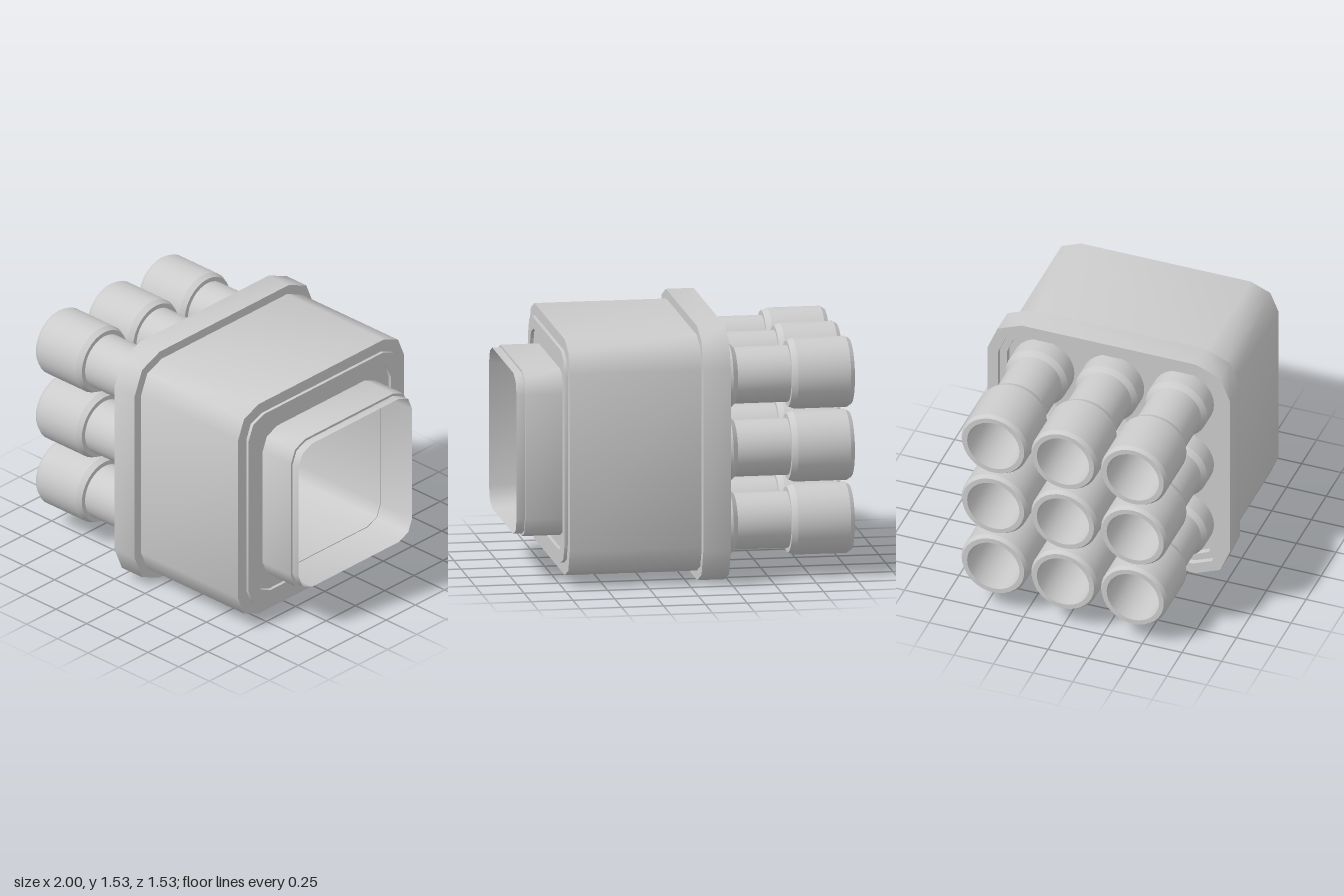
import * as THREE from 'three';
import { toCreasedNormals } from 'three/addons/utils/BufferGeometryUtils.js';

const MID = 0.765; // height of the central axis
const material = new THREE.MeshStandardMaterial({ color: 0xcccccc, side: THREE.DoubleSide });

// Square section with two-segment rounded corners, in the plane at x
function section(x, half, radius) {
  const points = [];
  for (let corner = 0; corner < 4; corner++) {
    for (let k = 0; k < 3; k++) {
      const t = corner * Math.PI / 2 + k * Math.PI / 4;
      const mid = corner * Math.PI / 2 + Math.PI / 4;
      const c = (half - radius) * Math.SQRT2;
      points.push([x, c * Math.cos(mid) + radius * Math.cos(t), c * Math.sin(mid) + radius * Math.sin(t)]);
    }
  }
  return points;
}

// Skin a row of [x, half size, corner radius] sections
function loft(name, rows) {
  const rings = rows.map((row) => section(...row));
  const positions = [];
  for (let i = 0; i + 1 < rings.length; i++) {
    for (let j = 0; j < 12; j++) {
      const k = (j + 1) % 12;
      const [a, b, c, d] = [rings[i][j], rings[i][k], rings[i + 1][k], rings[i + 1][j]];
      if (rows[i][1] > 0) positions.push(...a, ...b, ...d);
      if (rows[i + 1][1] > 0) positions.push(...b, ...c, ...d);
    }
  }
  const geometry = new THREE.BufferGeometry();
  geometry.setAttribute('position', new THREE.Float32BufferAttribute(positions, 3));
  const mesh = new THREE.Mesh(toCreasedNormals(geometry, 0.9), material);
  mesh.name = name;
  mesh.position.y = MID;
  return mesh;
}

// Hollow pipe pointing to -x: [radius, distance along -x]
function pipeGeometry() {
  const profile = [
    [0.195, 0.14], [0.195, 0.275], [0.168, 0.305], [0.168, 0.625],
    [0.195, 0.625], [0.21, 0.66], [0.21, 0.975], [0.195, 1],
    [0.165, 1], [0.165, 0.25], [0, 0.25],
  ].map(([r, y]) => new THREE.Vector2(r, y));
  const geometry = new THREE.LatheGeometry(profile, 32).rotateZ(Math.PI / 2);
  return toCreasedNormals(geometry, 0.35);
}

export function createModel() {
  const model = new THREE.Group();
  model.name = 'connector';

  // Rear flange with a stepped recess around the pipes
  model.add(loft('flange', [
    [-0.16, 0, 0], [-0.16, 0.655, 0.13], [-0.2, 0.655, 0.13], [-0.2, 0.7, 0.17],
    [-0.235, 0.7, 0.17], [-0.235, 0.765, 0.215], [-0.07, 0.765, 0.215], [-0.07, 0.7, 0.17],
  ]));

  // Main housing, with a low raised rim on its end face
  model.add(loft('housing', [
    [-0.07, 0.71, 0.175], [0.72, 0.71, 0.175], [0.72, 0.64, 0.13], [0.74, 0.64, 0.13],
    [0.74, 0.575, 0.125], [0.72, 0.575, 0.125], [0.72, 0.49, 0.12],
  ]));

  // Square socket with a thin lip and a deep opening
  model.add(loft('socket', [
    [0.72, 0.5, 0.125], [0.95, 0.5, 0.125], [0.95, 0.485, 0.115], [1, 0.485, 0.115],
    [0.75, 0.48, 0.115], [0.75, 0.475, 0.11], [0, 0.475, 0.11], [0, 0, 0],
  ]));

  // Three by three grid of pipes
  const geometry = pipeGeometry();
  for (const row of [-1, 0, 1]) {
    for (const column of [-1, 0, 1]) {
      const pipe = new THREE.Mesh(geometry, material);
      pipe.name = 'pipe';
      pipe.position.set(0, MID + row * 0.44, column * 0.44);
      model.add(pipe);
    }
  }
  return model;
}
